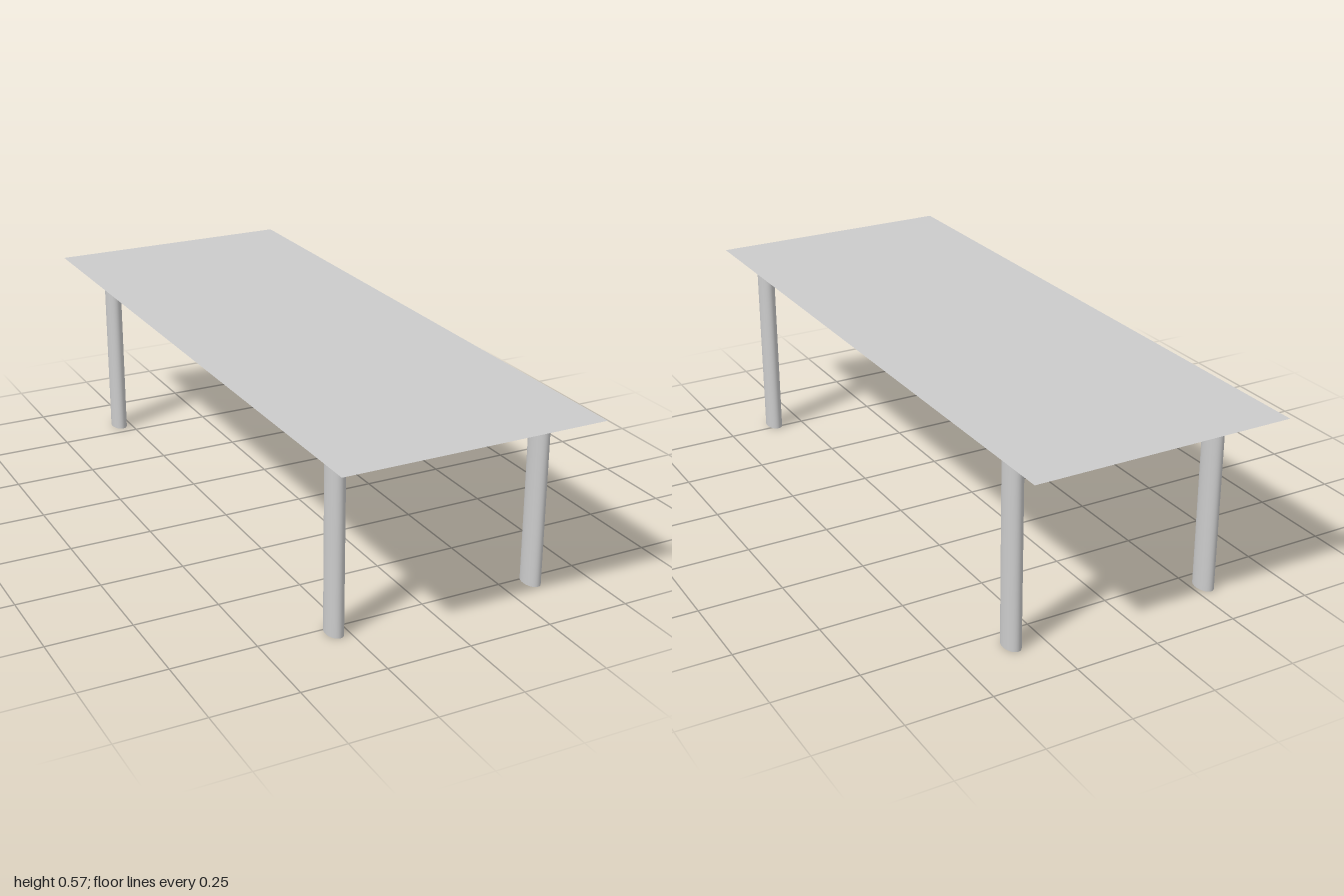
import * as THREE from 'three';

const HEIGHT = 0.566;

export function createModel() {
  const model = new THREE.Group();
  model.name = 'table';
  const material = new THREE.MeshStandardMaterial({ color: 0xcccccc, side: THREE.DoubleSide });

  // Paper-thin rectangular top
  const top = new THREE.Mesh(new THREE.PlaneGeometry(0.78, 2).rotateX(-Math.PI / 2), material);
  top.name = 'tabletop';
  top.position.y = HEIGHT;
  model.add(top);

  // Four oval legs, set slightly off centre under the top
  const legGeometry = new THREE.CylinderGeometry(1, 1, HEIGHT, 32).scale(0.0243, 1, 0.039);
  for (const [xName, x] of [['Left', 0.341], ['Right', -0.287]]) {
    for (const [zName, z] of [['front', 0.773], ['back', -0.816]]) {
      const leg = new THREE.Mesh(legGeometry, material);
      leg.name = `${zName}${xName}Leg`;
      leg.position.set(x, HEIGHT / 2, z);
      model.add(leg);
    }
  }
  return model;
}
